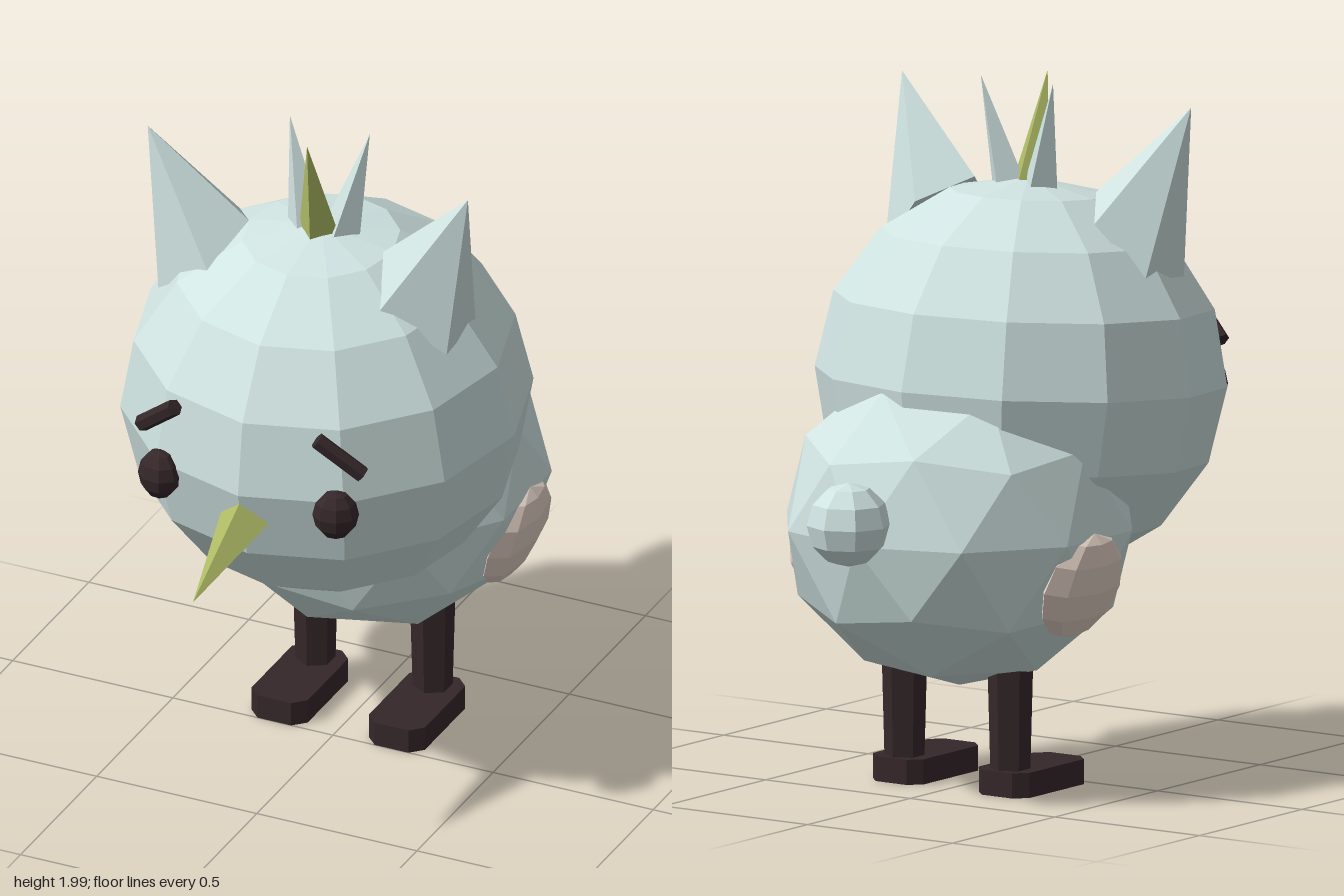
import * as THREE from 'three';
import { ConvexGeometry } from 'three/addons/geometries/ConvexGeometry.js';

const material = (color) => new THREE.MeshStandardMaterial({ color, flatShading: true });
const V = (x, y, z) => new THREE.Vector3(x, y, z);

export function createModel() {
  const model = new THREE.Group();
  model.name = 'bird';
  const plumage = material(0xcfe3e1);
  const gold = material(0xb0bc66);
  const dark = material(0x35272a);
  const peach = material(0xe6d4c8);

  function add(name, geometry, mat, position = [0, 0, 0]) {
    const mesh = new THREE.Mesh(geometry, mat);
    mesh.name = name;
    mesh.position.set(...position);
    model.add(mesh);
    return mesh;
  }

  // A rod or cone running from one point to another
  function rod(name, mat, from, to, r0, r1, sides) {
    const dir = to.clone().sub(from);
    const length = dir.length();
    const geometry = new THREE.CylinderGeometry(r1, r0, length, sides);
    const mesh = add(name, geometry, mat, from.clone().lerp(to, 0.5).toArray());
    mesh.quaternion.setFromUnitVectors(V(0, 1, 0), dir.normalize());
    return mesh;
  }

  // Head, nodding slightly forward
  const head = add('head', new THREE.SphereGeometry(1, 12, 8), plumage, [0, 1.13, 0.04]);
  head.scale.set(0.585, 0.57, 0.585);
  head.rotation.x = 0.07;

  // Body: icosphere standing on one of its corners
  const bodyGeometry = new THREE.IcosahedronGeometry(1, 1);
  bodyGeometry.rotateZ(-Math.atan(2 / (1 + Math.sqrt(5))));
  const body = add('body', bodyGeometry, plumage, [0, 0.76, -0.26]);
  body.scale.set(0.51, 0.47, 0.51);

  // Round tail
  add('tail', new THREE.SphereGeometry(0.12, 8, 6), plumage, [0, 0.83, -0.8]);

  // Beak and crest
  rod('beak', gold, V(0, 0.995, 0.58), V(0, 0.895, 0.92), 0.075, 0, 4);
  rod('crestCentre', gold, V(0, 1.68, 0.09), V(0, 1.99, 0.17), 0.062, 0, 4);

  // Foot outline with cut corners
  const [w, f, b, c] = [0.0875, 0.0, -0.335, 0.035];
  const footShape = new THREE.Shape([
    [-w + c, -f], [w - c, -f], [w, -f + c], [w, -b - c],
    [w - c, -b], [-w + c, -b], [-w, -b - c], [-w, -f + c],
  ].map(([x, y]) => new THREE.Vector2(x, y)));
  const footGeometry = new THREE.ExtrudeGeometry(footShape, { depth: 0.072, bevelEnabled: false });
  footGeometry.rotateX(-Math.PI / 2);

  for (const [side, s] of [['left', 1], ['right', -1]]) {
    // Side crest feathers
    rod(side + 'CrestFeather', plumage, V(s * 0.055, 1.67, 0.06), V(s * 0.125, 1.985, 0.02), 0.058, 0, 4);

    // Five-sided pointed ears
    const ear = [
      [0.45, 1.44, 0.2], [0.45, 1.455, 0.01], [0.31, 1.61, -0.04],
      [0.21, 1.67, 0.11], [0.27, 1.57, 0.26], [0.5, 1.935, 0.165],
    ].map(([x, y, z]) => V(s * x, y, z));
    add(side + 'Ear', new ConvexGeometry(ear), plumage);

    // Eyes and sloping brows
    const eye = add(side + 'Eye', new THREE.SphereGeometry(1, 8, 6), dark, [s * 0.275, 1.065, 0.56]);
    eye.scale.set(0.066, 0.074, 0.058);
    eye.rotation.y = s * 0.45;
    rod(side + 'Brow', dark, V(s * 0.222, 1.297, 0.572), V(s * 0.345, 1.195, 0.53), 0.025, 0.025, 6);

    // Flattened wings
    const wing = add(side + 'Wing', new THREE.SphereGeometry(1, 8, 6), peach, [s * 0.435, 0.625, -0.28]);
    wing.scale.set(0.065, 0.16, 0.18);
    wing.rotation.z = -s * 0.3;

    // Tapered legs and flat feet
    rod(side + 'Leg', dark, V(s * 0.183, 0.04, -0.27), V(s * 0.183, 0.42, -0.27), 0.056, 0.066, 6);
    add(side + 'Foot', footGeometry, dark, [s * 0.183, 0, 0]);
  }

  return model;
}
